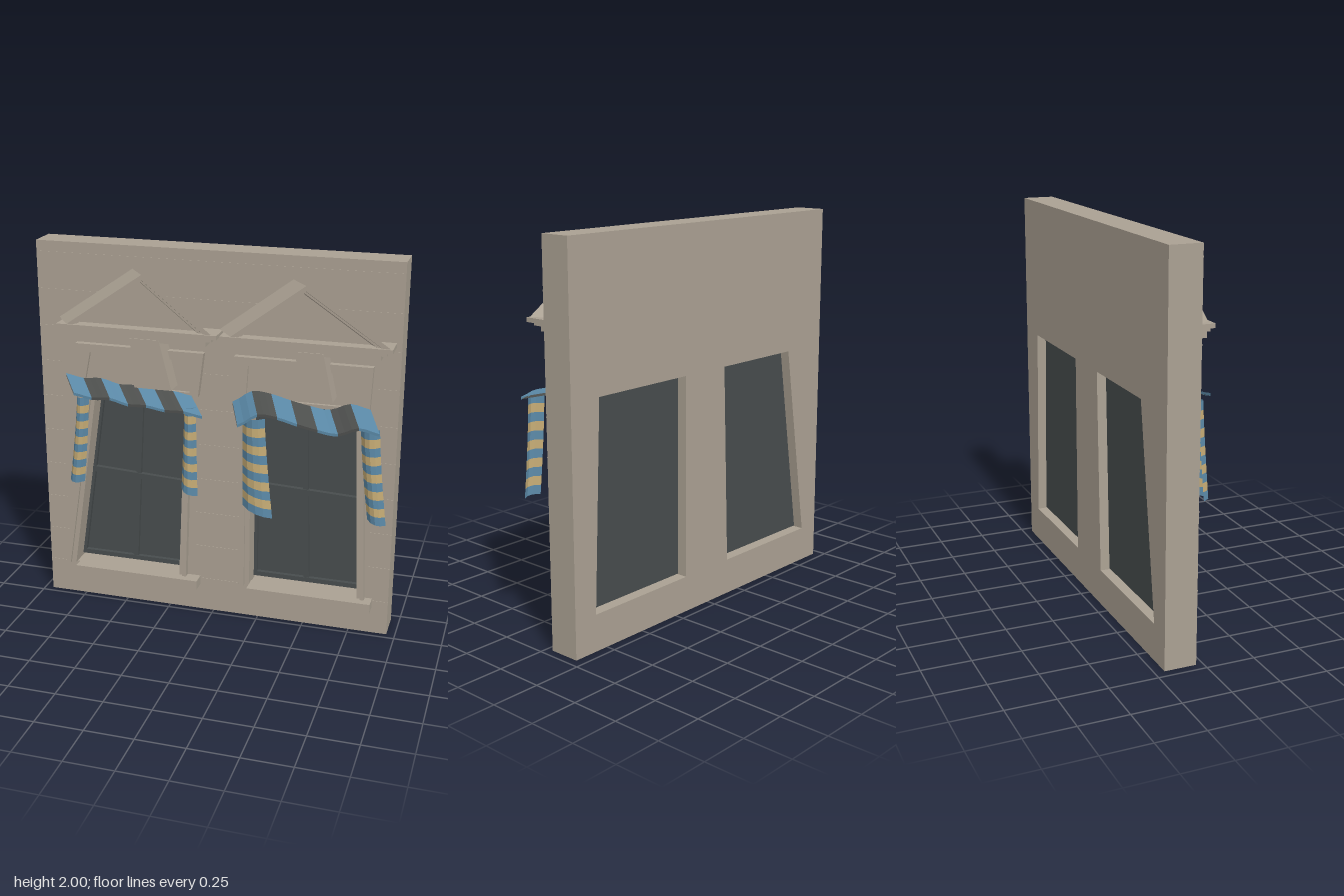
import * as THREE from 'three';

const mat = (name, color, side = THREE.FrontSide) => {
  const m = new THREE.MeshStandardMaterial({ color, side });
  m.name = name;
  return m;
};

export function createModel() {
  const root = new THREE.Group();
  root.name = 'facade';
  const stone = mat('stone', 0xaaa092);
  const glass = mat('darkGlass', 0x474c4d);
  const blue = mat('blueCloth', 0x5a88a6, THREE.DoubleSide);
  const yellow = mat('yellowCloth', 0xc4aa74, THREE.DoubleSide);
  const grey = mat('greyCloth', 0x4d4f4d, THREE.DoubleSide);

  const toPath = (pts, Type = THREE.Shape) => new Type(pts.map(p => new THREE.Vector2(...p)));

  // Outline in x/y pushed from z0 to z1, slid sideways by skew behind z = front
  function prism(parent, name, pts, z0, z1, material, { hole, skew = 0, front = z1 } = {}) {
    const shape = toPath(pts);
    for (const h of hole || []) shape.holes.push(toPath(h, THREE.Path));
    const g = new THREE.ExtrudeGeometry(shape, { depth: z1 - z0, bevelEnabled: false });
    const p = g.attributes.position;
    for (let i = 0; i < p.count; i++) {
      const z = p.getZ(i) + z0;
      p.setX(i, p.getX(i) + (z - front) * skew);
      p.setZ(i, z);
    }
    g.computeVertexNormals();
    const m = new THREE.Mesh(g, material);
    m.name = name;
    parent.add(m);
  }
  const rect = (x0, y0, x1, y1) => [[x0, y0], [x1, y0], [x1, y1], [x0, y1]];

  // Striped cloth: at(u, v) gives a point, stripes run across v
  function cloth(parent, name, at, nu, stripes, sub, colors) {
    const pos = [], lists = [[], []], nv = stripes * sub;
    for (let j = 0; j <= nv; j++)
      for (let i = 0; i <= nu; i++) pos.push(...at(i / nu, j / nv));
    for (let j = 0; j < nv; j++)
      for (let i = 0; i < nu; i++) {
        const a = j * (nu + 1) + i, b = a + 1, c = a + nu + 1, d = c + 1;
        lists[Math.floor(j / sub) % 2].push(a, c, b, b, c, d);
      }
    const g = new THREE.BufferGeometry();
    g.setAttribute('position', new THREE.Float32BufferAttribute(pos, 3));
    g.setIndex([...lists[0], ...lists[1]]);
    g.addGroup(0, lists[0].length, 0);
    g.addGroup(lists[0].length, lists[1].length, 1);
    const flat = g.toNonIndexed();
    flat.groups = g.groups;
    flat.computeVertexNormals();
    const m = new THREE.Mesh(flat, colors);
    m.name = name;
    parent.add(m);
  }

  const lerp = THREE.MathUtils.lerp;
  // Corners run bottom-left, bottom-right, top-right, top-left
  const windows = [
    {
      name: 'rightWindow',
      quad: [[-0.795, 0.21], [-0.19, 0.21], [-0.15, 1.21], [-0.645, 1.21]],
      midX: [0.52, 0.445], midY: [0.52, 0.49],
      frieze: [[-0.79, 1.24], [-0.075, 1.24], [-0.045, 1.475], [-0.745, 1.475]],
      panel: [[-0.7, 1.26], [-0.12, 1.26], [-0.105, 1.43], [-0.665, 1.43]],
      key: [[-0.39, 1.29], [-0.19, 1.29], [-0.255, 1.55], [-0.41, 1.55]],
      cornice: [[-0.8, 0.055], [-0.775, -0.01]],
      gable: [-0.745, -0.335, 0.025],
      sill: [-0.775, -0.075],
      awning: { x: [-0.805, -0.11], slide: 0.1, z: 0.14, drop: 0.055, ys: [1.305, 1.288, 1.296, 1.272, 1.275, 1.26, 1.262, 1.245] },
      // top x pair, bottom x pair, bottom y pair
      curtains: [[-0.715, -0.645, -0.765, -0.68, 0.74, 0.74], [-0.125, -0.06, -0.14, -0.05, 0.76, 0.73]],
      curtainZ: [0.095, 0.108],
    },
    {
      name: 'leftWindow',
      quad: [[0.205, 0.21], [0.79, 0.21], [0.75, 1.21], [0.205, 1.21]],
      midX: [0.5, 0.475], midY: [0.53, 0.505],
      frieze: [[0.105, 1.24], [0.815, 1.24], [0.825, 1.475], [0.115, 1.475]],
      panel: [[0.18, 1.26], [0.755, 1.26], [0.765, 1.43], [0.19, 1.43]],
      key: [[0.485, 1.305], [0.645, 1.305], [0.59, 1.55], [0.45, 1.55]],
      cornice: [[0.07, 0.93], [0.1, 0.87]],
      gable: [0.125, 0.5, 0.92],
      sill: [0.205, 0.87],
      awning: { x: [0.11, 0.82], slide: 0.08, z: 0.2, drop: 0.05, ys: [1.235, 1.3, 1.295, 1.27, 1.25, 1.24, 1.28, 1.26] },
      curtains: [[0.205, 0.32, 0.205, 0.365, 0.73, 0.675], [0.8, 0.895, 0.85, 0.945, 0.73, 0.71]],
      curtainZ: [0.17, 0.16],
    },
  ];

  // Position inside a crooked window opening
  const warp = (q, u, v) => [0, 1].map(k =>
    lerp(lerp(q[0][k], q[1][k], u), lerp(q[3][k], q[2][k], u), v));
  const patch = (q, u0, v0, u1, v1) =>
    [[u0, v0], [u1, v0], [u1, v1], [u0, v1]].map(([u, v]) => warp(q, u, v));

  // Wall slab with two openings
  prism(root, 'wall', rect(-0.955, 0, 0.955, 2), -0.2, -0.035, stone,
    { hole: windows.map(w => patch(w.quad, -0.06, -0.02, 1.05, 1.04)) });

  // Fine joints between the stone courses
  const joints = new THREE.Group();
  joints.name = 'stoneJoints';
  root.add(joints);
  for (let row = 0; row < 10; row++) {
    const y = 1.94 - row * 0.195;
    const runs = y > 1.48 || y < 0.15 ? [[-0.954, 0.954]] : [[-0.954, -0.84], [-0.1, 0.14], [0.83, 0.954]];
    for (const [a, b] of runs) prism(joints, 'courseJoint', rect(a, y - 0.004, b, y + 0.004), -0.036, -0.0325, stone);
    const x = row % 2 ? 0.71 : -0.01;
    if (row < 9 && (row % 2 === 0 || row < 2))
      prism(joints, 'uprightJoint', rect(x - 0.004, y - 0.195, x + 0.004, y), -0.036, -0.0325, stone);
  }

  for (const w of windows) {
    const g = new THREE.Group(), q = w.quad;
    g.name = w.name;
    root.add(g);

    // Panes, sash and glazing bars
    prism(g, 'panes', patch(q, -0.04, -0.01, 1.03, 1.03), -0.155, -0.138, glass);
    prism(g, 'sash', patch(q, -0.03, -0.005, 1.03, 1.03), -0.138, -0.115, glass,
      { hole: [patch(q, 0.03, 0.02, 0.97, 0.98)] });
    const [b, t] = w.midX, [l, r] = w.midY;
    prism(g, 'uprightBar', [warp(q, b - 0.025, 0), warp(q, b + 0.025, 0), warp(q, t + 0.025, 1), warp(q, t - 0.025, 1)], -0.138, -0.118, glass);
    prism(g, 'crossBar', [warp(q, 0, l - 0.015), warp(q, 1, r - 0.015), warp(q, 1, r + 0.015), warp(q, 0, l + 0.015)], -0.138, -0.112, glass);

    // Casing, stepped outwards
    for (const [u0, u1, z0, z1] of [[-0.06, 0, -0.137, -0.015], [-0.085, -0.045, -0.05, 0], [1, 1.05, -0.137, -0.015], [1.035, 1.07, -0.05, 0]])
      prism(g, 'casing', patch(q, u0, -0.02, u1, 1.05), z0, z1, stone);

    // Sill
    prism(g, 'sill', rect(w.sill[0], 0.15, w.sill[1], 0.2), -0.06, 0.04, stone);

    // Framed panel above the opening and its keystone
    prism(g, 'friezeFrame', w.frieze, -0.04, 0, stone, { hole: [w.panel] });
    prism(g, 'friezePanel', w.panel, -0.04, -0.018, stone);
    prism(g, 'keystone', w.key, -0.04, 0.085, stone);

    // Cornice in steps
    const [[c0, c1], [d0, d1]] = w.cornice;
    prism(g, 'corniceTop', rect(c0, 1.583, c1, 1.605), -0.02, 0.11, stone);
    prism(g, 'corniceMiddle', rect(c0 + 0.02, 1.565, c1 - 0.03, 1.583), -0.02, 0.095, stone);
    prism(g, 'corniceBottom', rect(d0, 1.535, d1, 1.565), -0.04, 0.08, stone);

    // Gable with stepped rakes around a recessed field
    const [gl, ga, gr] = w.gable, top = 1.885;
    const rake = inset => [[gl + inset, 1.605], [gr - inset, 1.605], [ga, top - inset * 0.67]];
    const slant = { skew: 0.75, front: 0.1 };
    prism(g, 'gableRake', rake(0), -0.02, 0.1, stone, { hole: [rake(0.04)], ...slant });
    prism(g, 'gableMoulding', rake(0.04), -0.02, 0.085, stone, { hole: [rake(0.06)], ...slant });
    prism(g, 'gableField', rake(0.06), -0.02, 0.045, stone, slant);

    // Sagging awning
    const a = w.awning;
    const wave = new THREE.SplineCurve(a.ys.map((y, i) => new THREE.Vector2(i, y)));
    const sheet = lower => (u, v) => [
      lerp(a.x[0], a.x[1], v) + a.slide * u, wave.getPoint(v).y - a.drop * u - lower, a.z * u,
    ];
    cloth(g, 'awningTop', sheet(0), 2, 7, 3, [blue, grey]);
    cloth(g, 'awningLining', sheet(0.012), 2, 7, 3, [grey, grey]);
    cloth(g, 'awningHem', (u, v) => {
      const [x, y, z] = sheet(0)(1, v);
      return [x, y - 0.014 * u, z];
    }, 1, 7, 3, [blue, grey]);

    // Softly folded curtains
    const folds = [-0.022, 0.012, 0.02, 0.012, -0.014];
    for (const [t0, t1, b0, b1, y0, y1] of w.curtains)
      cloth(g, 'curtain', (u, v) => [
        lerp(lerp(t0, t1, u), lerp(b0, b1, u), v ** 1.3),
        lerp(1.215, lerp(y0, y1, u), v),
        lerp(...w.curtainZ, v) + folds[Math.round(u * 4)],
      ], 4, 11, 1, [blue, yellow]);
  }
  return root;
}
